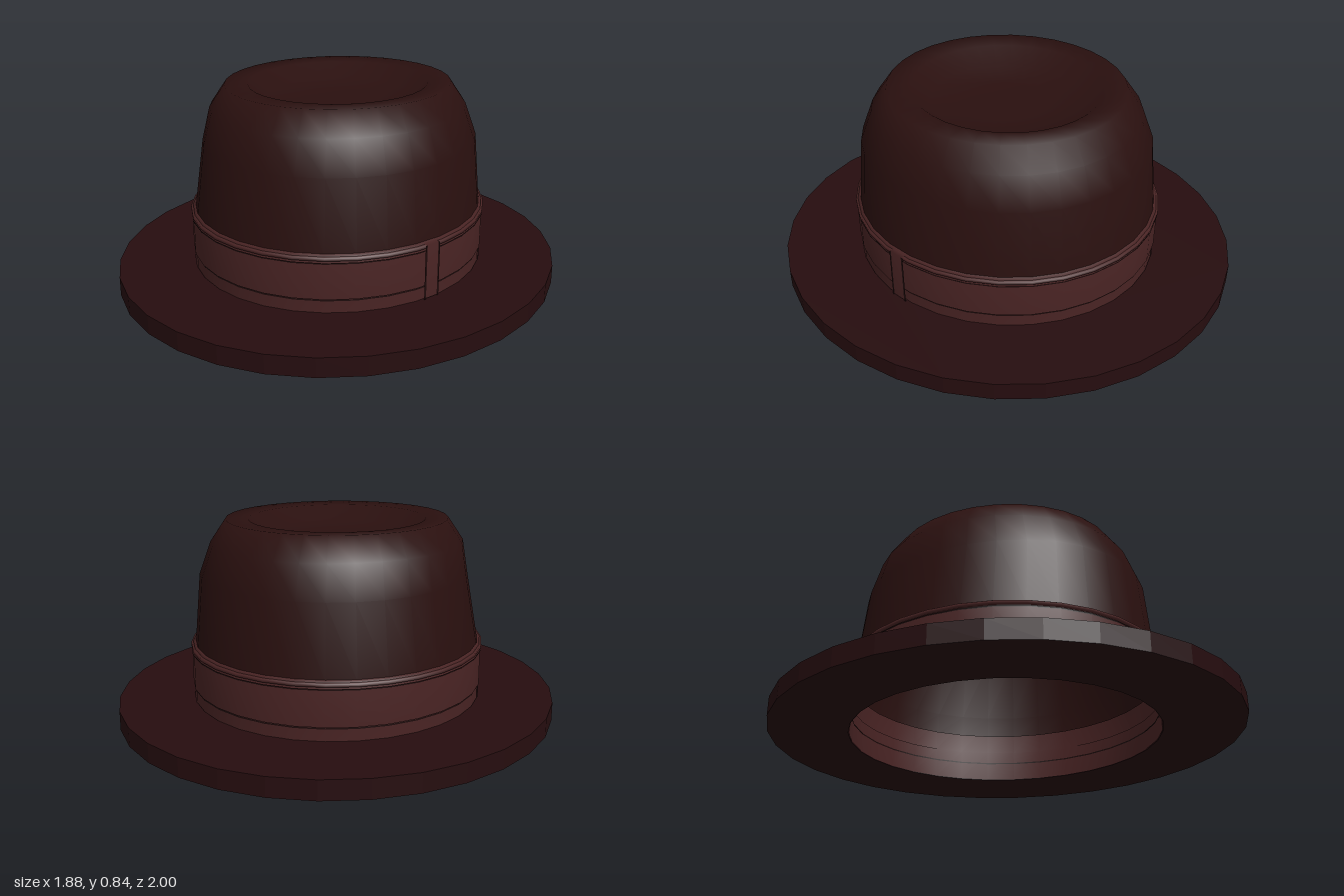
import * as THREE from 'three';

const SIDES = 32;
const OVAL = 0.94; // the hat is slightly narrower in x than in z

const material = (name, color, side = THREE.DoubleSide) => {
  const m = new THREE.MeshStandardMaterial({ color, side });
  m.name = name;
  return m;
};

// Oval surface of revolution from [radius, height] pairs
function oval(profile, start = 0, sweep = Math.PI * 2, segments = SIDES) {
  const points = profile.map(([r, y]) => new THREE.Vector2(r, y));
  return new THREE.LatheGeometry(points, segments, start, sweep).scale(OVAL, 1, 1);
}

export function createModel() {
  const hat = new THREE.Group();
  hat.name = 'hat';
  const felt = material('crown felt', 0x2a100f);
  const brimFelt = material('brim felt', 0x260d0f, THREE.FrontSide);
  const ribbon = material('ribbon', 0x4a2424);
  const crease = material('ribbon crease', 0x1c0a0a);

  const add = (name, geometry, mat) => {
    const mesh = new THREE.Mesh(geometry, mat);
    mesh.name = name;
    hat.add(mesh);
    return mesh;
  };

  // Flat brim: a thick oval ring with an open middle
  const ellipse = (type, r) => {
    const pts = Array.from({ length: SIDES }, (_, i) => {
      const a = (i / SIDES) * Math.PI * 2;
      return new THREE.Vector2(Math.cos(a) * r * OVAL, Math.sin(a) * r);
    });
    return new type(pts);
  };
  const brimShape = ellipse(THREE.Shape, 1);
  brimShape.holes.push(ellipse(THREE.Path, 0.663));
  const brim = new THREE.ExtrudeGeometry(brimShape, { depth: 0.08, bevelEnabled: false });
  brim.rotateX(-Math.PI / 2);
  add('brim', brim, brimFelt);

  // Crown with a sunken top
  const crown = oval([
    [0.652, 0.215], [0.65, 0.31], [0.622, 0.61], [0.57, 0.745], [0.502, 0.84],
    [0.4, 0.835], [0.32, 0.775], [0.16, 0.765], [0, 0.765],
  ]);
  // Gentle pinch on the right side of the crown
  const p = crown.attributes.position;
  for (let i = 0; i < p.count; i++) {
    const x = p.getX(i);
    if (x < 0 && Math.abs(p.getY(i) - 0.61) < 0.01) {
      p.setX(i, x + 0.028 * (x / 0.585) ** 2);
    }
  }
  add('crown', crown, felt);

  // Ribbon, also seen from inside the opening
  add('ribbonBand', oval([
    [0.66, 0.002], [0.66, 0.135], [0.667, 0.137], [0.667, 0.285],
    [0.662, 0.29], [0.662, 0.315], [0.65, 0.32],
  ]), ribbon);
  add('ribbonLip', oval([[0.66, 0.295], [0.671, 0.298], [0.671, 0.31], [0.66, 0.313]]), ribbon);

  // Stitched lines around the ribbon
  for (const [y, r] of [[0.131, 0.662], [0.287, 0.669]]) {
    add('ribbonCrease', oval([[r, y - 0.003], [r, y + 0.003]]), crease);
  }
  add('innerCrease', oval([[0.657, 0.077], [0.657, 0.083]]), crease);

  // Upright fold on the left side, with a dark seam at each edge
  const fold = 1.086;
  const half = 0.05;
  add('ribbonFold', oval(
    [[0.66, 0.08], [0.673, 0.085], [0.673, 0.312], [0.65, 0.318]],
    fold - half, half * 2, 2,
  ), ribbon);
  for (const s of [-1, 1]) {
    add('foldSeam', oval(
      [[0.675, 0.082], [0.675, 0.312]],
      fold + s * half - 0.007, 0.014, 1,
    ), crease);
  }

  return hat;
}
